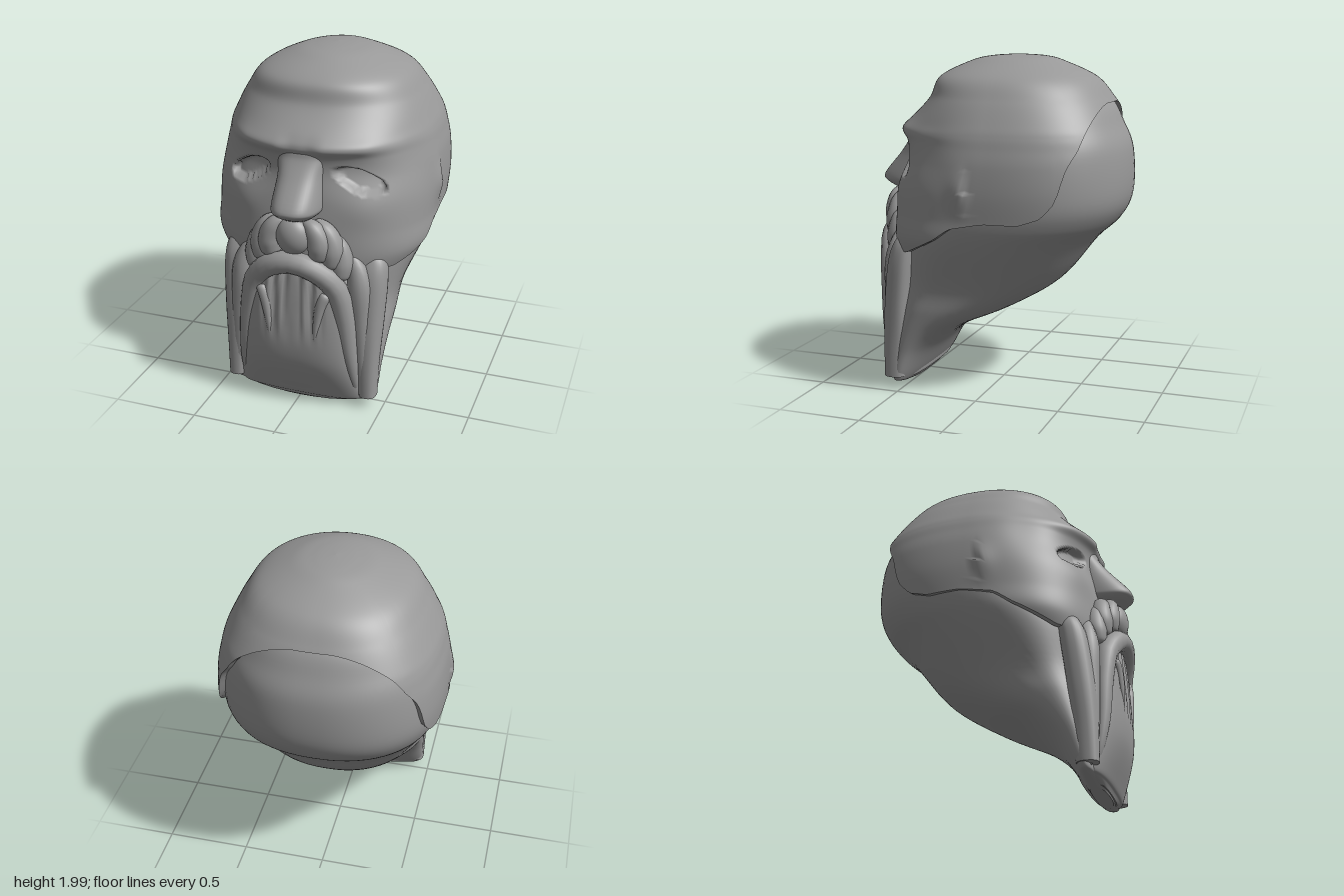
import * as THREE from 'three';

const stone = new THREE.MeshStandardMaterial({ color: 0x999999, side: THREE.DoubleSide });
stone.name = 'grey stone';

// Smooth interpolation through a list of equal-length rows; t runs from 0 to rows.length - 1
function sample(rows, t) {
  const i = Math.min(Math.floor(t), rows.length - 2), f = t - i;
  const at = k => rows[Math.max(0, Math.min(rows.length - 1, k))];
  return rows[i].map((b, c) => {
    const a = at(i - 1)[c], d = at(i + 1)[c], e = at(i + 2)[c];
    return b + 0.5 * f * (d - a + f * (2 * a - 5 * b + 4 * d - e + f * (3 * (b - d) + e - a)));
  });
}
const smooth = (a, b, v) => THREE.MathUtils.smoothstep(v, a, b);
const bump = (v, c, r) => Math.exp(-(((v - c) / r) ** 2));

// Closed rings of points, stacked from first to last row
function rings(name, nRows, nCols, point) {
  const pos = [], index = [];
  for (let i = 0; i <= nRows; i++) {
    for (let j = 0; j < nCols; j++) {
      pos.push(...point(i, j));
      if (i === nRows) continue;
      const k = (j + 1) % nCols, a = i * nCols, b = a + nCols;
      index.push(a + j, b + j, b + k, a + j, b + k, a + k);
    }
  }
  const g = new THREE.BufferGeometry();
  g.setAttribute('position', new THREE.Float32BufferAttribute(pos, 3));
  g.setIndex(index);
  g.computeVertexNormals();
  const mesh = new THREE.Mesh(g, stone);
  mesh.name = name;
  return mesh;
}

// Superellipse ring; row = [y, halfWidth, zFront, zBack, zWidest, xCentre]
function ringPoint(row, angle, n) {
  const [y, w, zf, zb, zc, cx = 0] = row;
  const s = Math.sin(angle), c = Math.cos(angle);
  const pw = v => Math.sign(v) * Math.abs(v) ** (2 / n);
  return [cx + w * pw(s), y, zc + (c > 0 ? zf - zc : zc - zb) * pw(c)];
}

// Solid with superellipse sections, closed by flat caps
function loft(name, rows, { n = 2.4, cols = 48, steps = 6, shape = p => p } = {}) {
  const last = (rows.length - 1) * steps;
  return rings(name, last + 4, cols, (i, j) => {
    const k = Math.max(0, Math.min(last, i - 2));
    const row = sample(rows, k / steps);
    if (i === 0 || i === last + 4) return [row[5] || 0, row[0], row[4]];
    return shape(ringPoint(row, j / cols * Math.PI * 2, n));
  });
}

// Tapered round strand of hair; each point is [x, y, z, radius]
function strand(name, pts, side = 1) {
  const curve = new THREE.CatmullRomCurve3(pts.map(p => new THREE.Vector3(side * p[0], p[1], p[2])));
  const N = 32, cols = 14, frames = curve.computeFrenetFrames(N);
  return rings(name, N, cols, (i, j) => {
    const t = i / N, a = j / cols * Math.PI * 2;
    const end = Math.sqrt(Math.max(0, 1 - Math.abs(2 * t - 1) ** 14));
    const r = sample(pts, t * (pts.length - 1))[3] * end;
    return curve.getPointAt(t).addScaledVector(frames.normals[i], r * Math.cos(a))
      .addScaledVector(frames.binormals[i], -r * Math.sin(a)).toArray();
  });
}

// Brows, eye sockets, cheeks and temples pressed into the mask
function faceRelief([x, y, z]) {
  if (z < 0) return [x, y, z];
  const ax = Math.abs(x);
  z += 0.02 * bump(y, 1.57, 0.05) * smooth(0.04, 0.14, ax) * (1 - smooth(0.34, 0.5, ax));
  z -= 0.015 * bump(y, 1.42, 0.1) * bump(ax, 0.27, 0.16);
  z += 0.012 * bump(y, 1.22, 0.09) * bump(ax, 0.36, 0.13);
  // almond eye hollow, lower at the outer corner
  const u = (ax - 0.325) / 0.135, v = (y - 1.38 + 0.36 * (ax - 0.325)) / 0.062;
  z -= (0.055 + 0.01 * u) * (1 - smooth(0.7, 1.05, Math.abs(u) ** 1.8 + v * v));
  const temple = bump(z, 0.27, 0.13) * bump(y, 1.5, 0.16) * smooth(0.4, 0.6, ax);
  const ear = bump(z, 0.02, 0.07) * bump(y, 1.26, 0.1) * smooth(0.5, 0.62, ax);
  return [x * (1 - 0.02 * temple + 0.03 * ear), y, z];
}

function skullMask() {
  // each row also holds the squareness of its front and back halves
  const rows = [
    [2.0, 0, -0.1, -0.1, -0.1, 0, 2, 2], [1.99, 0.12, 0.06, -0.26, -0.1, 0, 2, 2],
    [1.96, 0.25, 0.19, -0.365, -0.09, 0, 2.05, 2.1], [1.87, 0.43, 0.365, -0.55, -0.08, 0, 2.2, 2.3],
    [1.75, 0.52, 0.42, -0.65, -0.08, 0, 2.2, 2.5], [1.62, 0.59, 0.55, -0.73, -0.08, 0, 2.03, 2.6],
    [1.56, 0.615, 0.585, -0.76, -0.08, 0, 2.08, 2.6], [1.5, 0.63, 0.565, -0.78, -0.08, 0, 2.15, 2.6],
    [1.4, 0.65, 0.56, -0.8, -0.08, 0, 2.25, 2.6], [1.25, 0.66, 0.58, -0.81, -0.07, 0, 2.5, 2.6],
    [1.1, 0.655, 0.6, -0.78, -0.03, 0, 2.55, 2.6], [0.95, 0.645, 0.61, -0.7, 0.05, 0, 2.5, 2.6],
    [0.8, 0.55, 0.61, -0.6, 0.1, 0, 2.5, 2.6],
  ];
  // lower rim height, from back to front: [z, y]
  const rim = [[-0.66, 1.73], [-0.6, 1.5], [-0.55, 1.4], [-0.5, 1.22], [-0.42, 1.13], [-0.3, 1.09],
    [-0.1, 1.09], [0.1, 1.05], [0.2, 0.98], [0.42, 0.87], [0.6, 0.85]];
  const rimY = z => {
    if (z <= rim[0][0]) return rim[0][1];
    const k = rim.findIndex(p => p[0] > z);
    if (k < 0) return 0.85;
    const [a, b] = [rim[k - 1], rim[k]];
    return a[1] + (b[1] - a[1]) * (z - a[0]) / (b[0] - a[0]);
  };
  const cols = 200, N = 120, ends = [];
  const maskPoint = (t, j) => {
    const row = sample(rows, t), angle = j / cols * Math.PI * 2;
    return ringPoint(row, angle, Math.cos(angle) > 0 ? row[6] : row[7]);
  };
  for (let j = 0; j < cols; j++) {
    let lo = 0, hi = rows.length - 1;
    for (let k = 0; k < 24; k++) {
      const mid = (lo + hi) / 2, p = maskPoint(mid, j);
      if (p[1] > rimY(p[2])) lo = mid; else hi = mid;
    }
    ends.push(lo);
  }
  return rings('skullMask', N + 2, cols, (i, j) => {
    const p = faceRelief(maskPoint(ends[j] * Math.min(1, i / N), j));
    // the two extra rows form a turned-in rim
    const inset = i > N + 1 ? 0.95 : 1;
    return [p[0] * inset, p[1], p[2] * inset];
  });
}

export function createModel() {
  const head = new THREE.Group();
  head.name = 'beardedHead';
  head.add(skullMask());

  // Rounded back of the head running down into the jaw
  head.add(loft('backAndJaw', [
    [1.92, 0.05, -0.05, -0.2, -0.1], [1.88, 0.3, 0.1, -0.42, -0.1], [1.75, 0.48, 0.24, -0.63, -0.1],
    [1.6, 0.57, 0.28, -0.715, -0.1], [1.45, 0.625, 0.28, -0.77, -0.1], [1.2, 0.642, 0.38, -0.775, -0.1],
    [1.05, 0.635, 0.47, -0.71, -0.02], [0.92, 0.6, 0.53, -0.575, 0.08], [0.67, 0.5, 0.56, -0.37, 0.25],
    [0.5, 0.485, 0.59, -0.1, 0.35], [0.38, 0.475, 0.6, 0.17, 0.42], [0.25, 0.465, 0.6, 0.335, 0.48],
    [0.08, 0.45, 0.6, 0.45, 0.53], [0.04, 0.39, 0.6, 0.48, 0.53], [0.01, 0.22, 0.59, 0.5, 0.53],
  ], { n: 2.3, cols: 72 }));

  // Nose with a flat ridge, spreading flanks and undercut tip
  head.add(loft('nose', [
    [1.6, 0.14, 0.54, 0.4, 0.45], [1.54, 0.16, 0.572, 0.4, 0.45], [1.49, 0.15, 0.59, 0.4, 0.46],
    [1.4, 0.135, 0.655, 0.4, 0.48], [1.26, 0.14, 0.772, 0.4, 0.53], [1.215, 0.135, 0.755, 0.4, 0.54],
    [1.18, 0.1, 0.7, 0.4, 0.54],
  ], { n: 2.6 }));

  // Fluted front panel of the beard
  head.add(loft('beard', [
    [0.95, 0.18, 0.69, 0.45, 0.55], [0.8, 0.29, 0.705, 0.45, 0.55], [0.55, 0.335, 0.722, 0.45, 0.55],
    [0.3, 0.355, 0.712, 0.45, 0.55], [0.08, 0.38, 0.635, 0.45, 0.55], [0.04, 0.34, 0.61, 0.48, 0.55],
    [0.02, 0.25, 0.6, 0.5, 0.55],
  ], {
    n: 2.7, cols: 120, steps: 10,
    shape: ([x, y, z]) => {
      const flute = smooth(0.4, 0.65, y) * (1 - smooth(0.14, 0.2, Math.abs(x)));
      return [x, y, z > 0.6 ? z + 0.012 * flute * (Math.cos(x * 85) - 0.8) : z];
    },
  }));

  // Lip tuft below the nose
  const tuft = new THREE.Mesh(new THREE.SphereGeometry(1, 32, 20), stone);
  tuft.name = 'centreTuft';
  tuft.scale.set(0.1, 0.11, 0.075);
  tuft.position.set(0, 1.08, 0.665);
  head.add(tuft);

  // Arched lower moustache, sinking into both edges of the beard
  const half = [[0.13, 0.895, 0.685, 0.065], [0.235, 0.79, 0.645, 0.066], [0.28, 0.62, 0.625, 0.058],
    [0.315, 0.35, 0.615, 0.045], [0.35, 0.09, 0.585, 0.026]];
  const mirrored = half.map(([x, ...r]) => [-x, ...r]).reverse();
  head.add(strand('mouthArch', [...mirrored, [0, 0.93, 0.695, 0.065], ...half]));

  for (const side of [-1, 1]) {
    const tag = side > 0 ? 'left' : 'right';
    // Rolled curls of the moustache
    [
      [[0.05, 1.17, 0.64, 0.03], [0.11, 1.13, 0.65, 0.058], [0.145, 1.05, 0.645, 0.07], [0.14, 0.94, 0.645, 0.055]],
      [[0.1, 1.16, 0.6, 0.03], [0.17, 1.11, 0.61, 0.058], [0.205, 1.02, 0.61, 0.072], [0.2, 0.89, 0.62, 0.055]],
      [[0.19, 1.09, 0.57, 0.025], [0.235, 1.03, 0.58, 0.055], [0.255, 0.93, 0.585, 0.068], [0.25, 0.82, 0.6, 0.055]],
    ].forEach((pts, k) => head.add(strand(`${tag}MoustacheCurl${k + 1}`, pts, side)));

    // Long strands sweeping off the cheek and hanging beside the beard
    head.add(strand(`${tag}InnerStrand`, [[0.26, 1.0, 0.53, 0.03], [0.335, 0.87, 0.55, 0.07],
      [0.365, 0.58, 0.56, 0.064], [0.38, 0.3, 0.565, 0.052], [0.4, 0.07, 0.565, 0.038]], side));
    head.add(loft(`${tag}OuterStrand`, [
      [0.97, 0.015, 0.48, 0.42, 0.45, side * 0.39], [0.92, 0.075, 0.53, 0.41, 0.46, side * 0.4],
      [0.8, 0.095, 0.575, 0.42, 0.48, side * 0.4], [0.55, 0.085, 0.605, 0.45, 0.51, side * 0.4],
      [0.3, 0.064, 0.615, 0.47, 0.54, side * 0.405], [0.08, 0.052, 0.615, 0.49, 0.55, side * 0.41],
    ], { n: 2.4, cols: 24 }));

    // Thin hair ridges framing the flutes of the beard
    head.add(strand(`${tag}BeardLock`, [[0.2, 0.76, 0.675, 0.035], [0.17, 0.69, 0.69, 0.03],
      [0.147, 0.57, 0.703, 0.02], [0.135, 0.45, 0.71, 0.008]], side));
  }
  return head;
}
